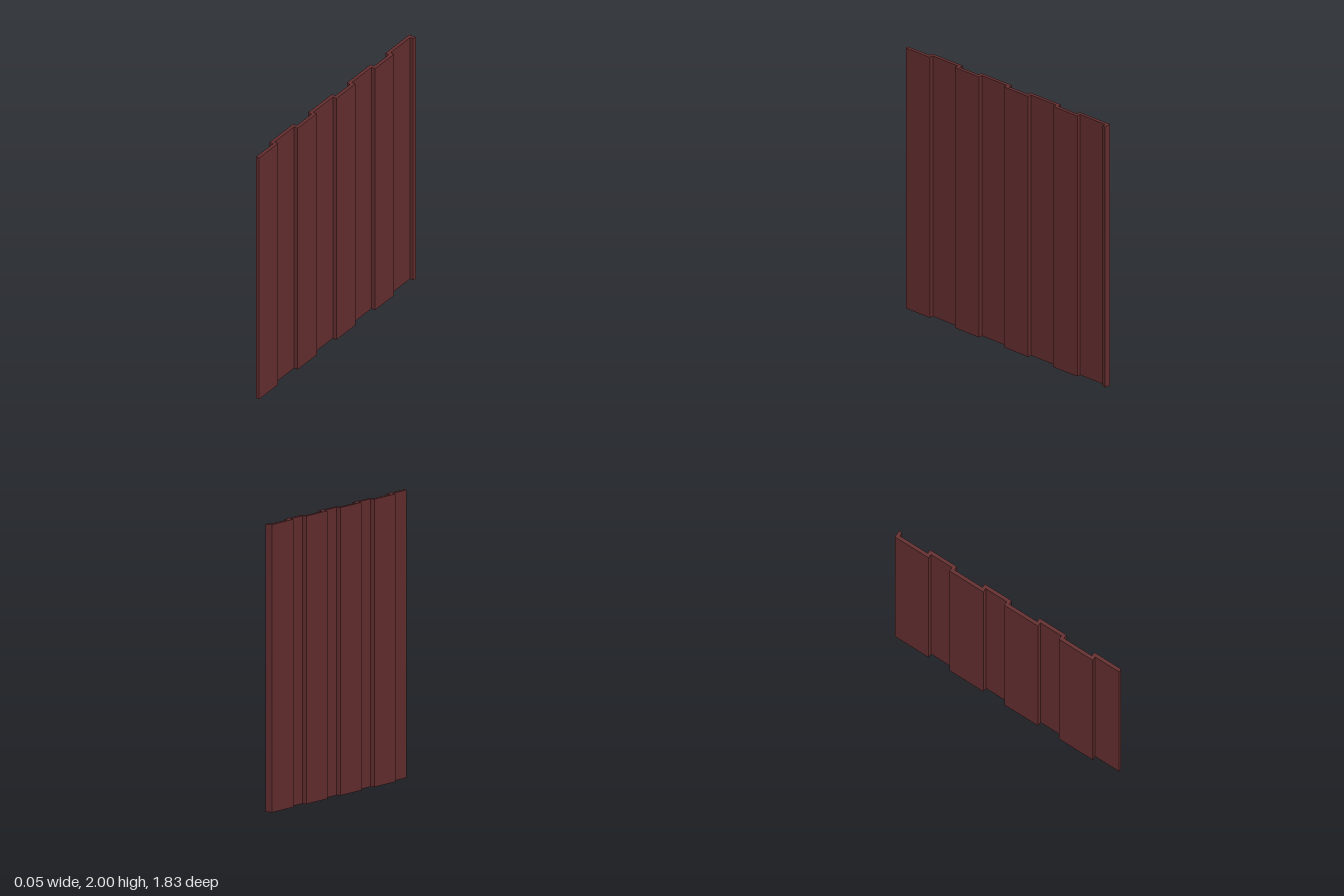
import * as THREE from 'three';

export function createModel() {
  const group = new THREE.Group();
  group.name = 'corrugatedPanel';
  const paint = new THREE.MeshStandardMaterial({ color: 0x642e2f });
  paint.name = 'dark red paint';

  const X = 0.0275;      // half depth
  const END = 0.9145;    // half width
  const T = 0.025;       // sheet thickness
  const RIBS = 4;
  const pitch = (2 * END - T) / RIBS;
  const inset = 0.254;   // from a rib's start to its step forward

  // Stepped cross-section as [x, z]: outer edge one way, inner edge back
  const outer = [[X, -END]];
  const inner = [];
  for (let i = 0; i < RIBS; i++) {
    const a = -END + i * pitch, b = a + inset;
    const last = i === RIBS - 1;
    outer.push([i === 0 ? X - 0.005 : X, a + T], [-X + T, a + T], [-X + T, b], [X, b]);
    inner.push([-X, a], [-X, b + T], [X - T, b + T], [X - T, last ? END : a + pitch]);
  }
  outer.push([X, END]);

  const profile = [...outer, ...inner.reverse()];
  const shape = new THREE.Shape(profile.map(([x, z]) => new THREE.Vector2(x, -z)));

  // Pull the section up to full height
  const geometry = new THREE.ExtrudeGeometry(shape, { depth: 2, bevelEnabled: false });
  geometry.rotateX(-Math.PI / 2);
  const sheet = new THREE.Mesh(geometry, paint);
  sheet.name = 'ribbedSheet';
  group.add(sheet);
  return group;
}
